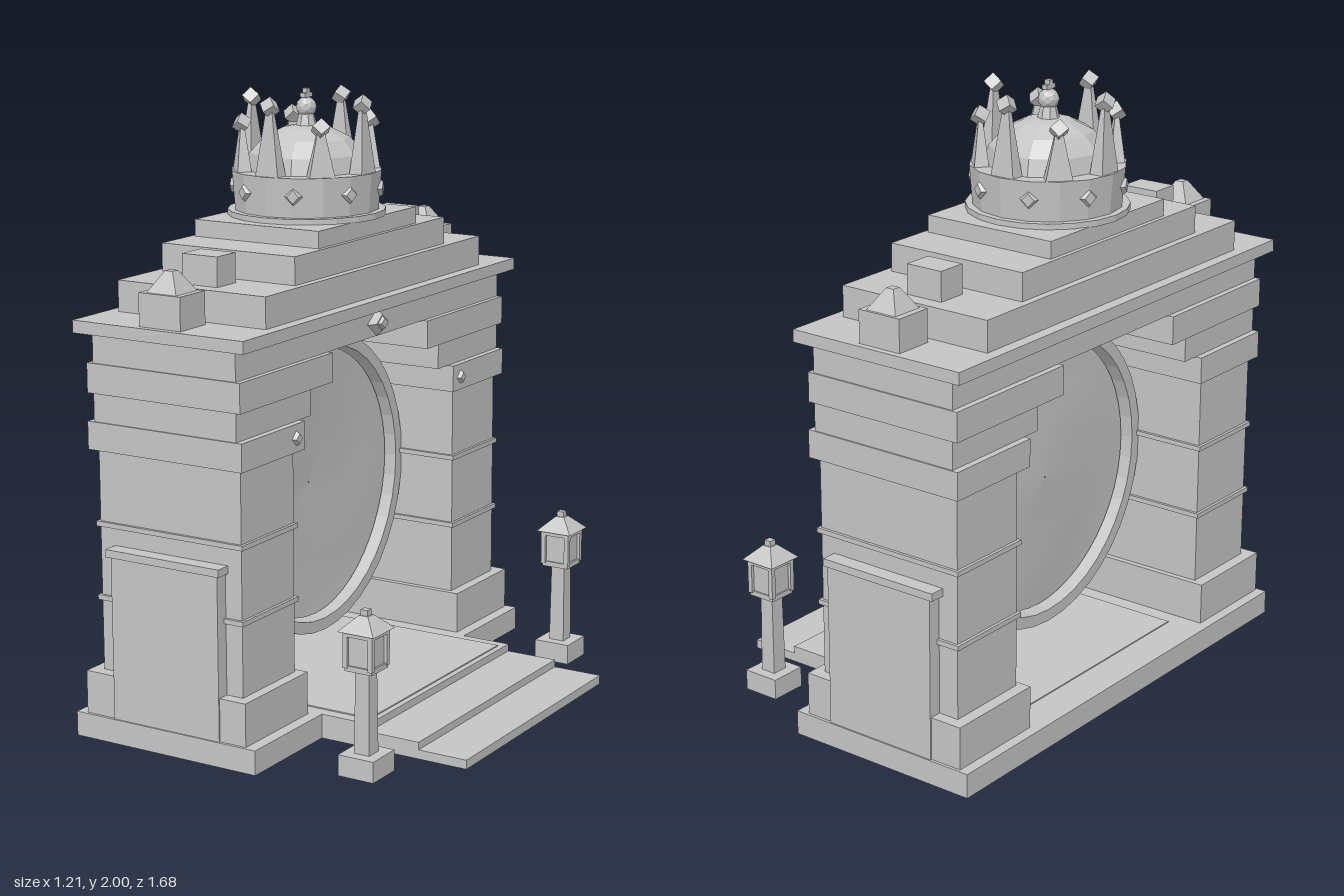
import * as THREE from 'three';

export function createModel() {
  const root = new THREE.Group();
  const stone = new THREE.MeshStandardMaterial({ color: 0xc4c4c4, flatShading: true });
  stone.name = 'stone grey';
  const portalGrey = new THREE.MeshStandardMaterial({ color: 0xc4c4c4, side: THREE.DoubleSide });
  portalGrey.name = 'portal grey';

  const add = (name, geo, x = 0, y = 0, z = 0, parent = root, mat = stone) => {
    const m = new THREE.Mesh(geo, mat);
    m.name = name;
    m.position.set(x, y, z);
    parent.add(m);
    return m;
  };
  // Box given by its limits on each axis
  const box = (name, x0, x1, y0, y1, z0, z1, parent = root) =>
    add(name, new THREE.BoxGeometry(x1 - x0, y1 - y0, z1 - z0),
      (x0 + x1) / 2, (y0 + y1) / 2, (z0 + z1) / 2, parent);
  // Square frustum standing on y0, half widths at the bottom and top
  const frustum = (name, x, y0, y1, z, bottom, top, parent = root) => {
    const g = new THREE.CylinderGeometry(top * Math.SQRT2, bottom * Math.SQRT2, y1 - y0, 4);
    g.rotateY(Math.PI / 4);
    return add(name, g, x, (y0 + y1) / 2, z, parent);
  };
  // Bevelled diamond plate facing +x
  const diamond = (name, x, y, z, w, h, d, parent = root) => {
    const g = new THREE.CylinderGeometry(0.6, 1, 1, 4);
    g.rotateZ(-Math.PI / 2);
    g.scale(d, h, w);
    return add(name, g, x, y, z, parent);
  };

  // Base slab, entrance steps and floor inlay
  box('baseSlab', -0.605, 0.075, 0, 0.08, -0.84, 0.84);
  box('upperStep', 0.075, 0.25, 0, 0.08, -0.46, 0.46);
  box('middleStep', 0.25, 0.43, 0, 0.055, -0.46, 0.46);
  box('lowerStep', 0.43, 0.6, 0, 0.03, -0.46, 0.46);
  box('floorInlay', -0.48, 0.23, 0.08, 0.084, -0.42, 0.42);

  for (const s of [1, -1]) {
    const side = (name, x0, x1, y0, y1, z0, z1, parent) =>
      box(name, x0, x1, y0, y1, Math.min(s * z0, s * z1), Math.max(s * z0, s * z1), parent);

    // Pillar with plinth, bands and outer buttress
    const pillar = new THREE.Group();
    pillar.name = s > 0 ? 'leftPillar' : 'rightPillar';
    root.add(pillar);
    side('plinth', -0.57, 0.035, 0.08, 0.22, 0.48, 0.83, pillar);
    side('shaft', -0.53, 0, 0.22, 0.94, 0.5, 0.79, pillar);
    for (const y of [0.46, 0.7])
      side('band', -0.54, 0.01, y - 0.008, y + 0.008, 0.49, 0.8, pillar);
    side('buttress', -0.46, -0.06, 0.08, 0.61, 0.78, 0.835, pillar);
    side('buttressCap', -0.475, -0.05, 0.61, 0.635, 0.78, 0.842, pillar);

    // Corbelled courses stepping in towards the arch
    side('lowerCourse', -0.552, 0.022, 0.94, 1.03, 0.465, 0.815, pillar);
    side('middleCourse', -0.53, 0, 1.03, 1.12, 0.4, 0.81, pillar);
    side('upperCourse', -0.55, 0.018, 1.12, 1.215, 0.295, 0.815, pillar);
    diamond('pillarGem', 0.025, 0.985, s * 0.515, 0.028, 0.028, 0.02, pillar);

    // Roof blocks and corner posts
    side('roofBlock', -0.33, -0.2, 1.45, 1.545, 0.51, 0.61);
    side('cornerPost', -0.343, -0.19, 1.35, 1.455, 0.69, 0.82);
    frustum('cornerPostCap', -0.266, 1.455, 1.52, s * 0.755, 0.055, 0.014);

    // Lamp post
    const lamp = new THREE.Group();
    lamp.name = s > 0 ? 'leftLamp' : 'rightLamp';
    lamp.position.set(0.353, 0, s * 0.645);
    root.add(lamp);
    box('lampBase', -0.063, 0.063, 0, 0.068, -0.063, 0.063, lamp);
    frustum('lampPost', 0, 0.068, 0.34, 0, 0.027, 0.024, lamp);
    box('lanternFloor', -0.048, 0.048, 0.335, 0.352, -0.048, 0.048, lamp);
    box('lanternGlass', -0.042, 0.042, 0.352, 0.45, -0.042, 0.042, lamp);
    for (const a of [-1, 1]) for (const b of [-1, 1])
      box('lanternCorner', a * 0.044 - 0.008, a * 0.044 + 0.008, 0.345, 0.455,
        b * 0.044 - 0.008, b * 0.044 + 0.008, lamp);
    box('lanternTop', -0.052, 0.052, 0.445, 0.46, -0.052, 0.052, lamp);
    frustum('lampRoof', 0, 0.46, 0.507, 0, 0.064, 0.016, lamp);
    box('lampFinial', -0.012, 0.012, 0.505, 0.525, -0.012, 0.012, lamp);
  }

  // Lintel, cornice and stepped roof
  box('lintel', -0.53, 0, 1.215, 1.31, -0.81, 0.81);
  box('cornice', -0.58, 0.05, 1.31, 1.35, -0.842, 0.842);
  box('roofStep1', -0.54, 0.01, 1.35, 1.45, -0.66, 0.66);
  box('roofStep2', -0.515, -0.015, 1.45, 1.54, -0.46, 0.46);
  box('roofStep3', -0.5, -0.03, 1.54, 1.595, -0.3, 0.3);
  diamond('keystoneGem', 0.01, 1.26, 0, 0.06, 0.046, 0.022);
  diamond('keystoneGemCore', 0.021, 1.26, 0, 0.036, 0.028, 0.02);

  // Portal ring and the swirling disc inside it
  const portal = new THREE.Group();
  portal.name = 'portal';
  portal.position.set(-0.245, 0.69, 0);
  portal.rotation.z = -Math.PI / 2;
  root.add(portal);
  const section = [[0.465, -0.04], [0.505, -0.04], [0.505, 0.04], [0.465, 0.04], [0.465, -0.04]];
  add('portalRing', new THREE.LatheGeometry(section.map(p => new THREE.Vector2(...p)), 40),
    0, 0, 0, portal);
  const disc = new THREE.RingGeometry(0.002, 0.456, 48, 16);
  disc.rotateX(-Math.PI / 2);
  const p = disc.attributes.position;
  for (let i = 0; i < p.count; i++) {
    const r = Math.hypot(p.getX(i), p.getZ(i)), a = Math.atan2(p.getZ(i), p.getX(i));
    p.setY(i, -0.02 * (1 - r / 0.456) + 0.004 * r * Math.sin(3 * a + 16 * r));
  }
  disc.computeVertexNormals();
  add('portalSurface', disc, 0, 0, 0, portal, portalGrey);

  // Crown: collar, band, faceted dome and finial
  const crown = new THREE.Group();
  crown.name = 'crown';
  crown.position.set(-0.266, 0, 0);
  root.add(crown);
  add('crownCollar', new THREE.CylinderGeometry(0.258, 0.258, 0.02, 20), 0, 1.603, 0, crown);
  add('crownBand', new THREE.CylinderGeometry(0.246, 0.236, 0.13, 16), 0, 1.675, 0, crown);
  const dome = new THREE.SphereGeometry(0.2, 10, 4, 0, Math.PI * 2, 0, Math.PI / 2);
  dome.scale(1, 0.76, 1);
  add('crownDome', dome, 0, 1.735, 0, crown);
  add('finialStem', new THREE.CylinderGeometry(0.025, 0.035, 0.04, 8), 0, 1.9, 0, crown);
  add('finialBall', new THREE.IcosahedronGeometry(0.034, 1), 0, 1.94, 0, crown);
  box('finialCrossUpright', -0.009, 0.009, 1.955, 2, -0.009, 0.009, crown);
  box('finialCrossArm', -0.009, 0.009, 1.972, 1.986, -0.022, 0.022, crown);

  // Eight spikes, tall and short in turn, with gems on the band between them
  for (let i = 0; i < 8; i++) {
    const spoke = new THREE.Group();
    spoke.name = 'crownSpoke';
    spoke.rotation.y = i * Math.PI / 4;
    crown.add(spoke);
    const top = i % 2 ? 1.885 : 1.95;
    const spike = new THREE.CylinderGeometry(0.016, 0.062, top - 1.73, 4);
    spike.rotateY(Math.PI / 4);
    spike.scale(0.55, 1, 1);
    add('crownSpike', spike, 0.212, (top + 1.73) / 2, 0, spoke);
    const tip = add('spikeTip', new THREE.BoxGeometry(0.04, 0.04, 0.04), 0.212, top + 0.008, 0, spoke);
    tip.rotation.set(0.6, 0.3, 0.5);
    const gemSpoke = new THREE.Group();
    gemSpoke.name = 'bandGemMount';
    gemSpoke.rotation.y = (i + 0.5) * Math.PI / 4;
    crown.add(gemSpoke);
    diamond('bandGem', 0.241, 1.682, 0, 0.033, 0.035, 0.02, gemSpoke);
  }
  return root;
}
